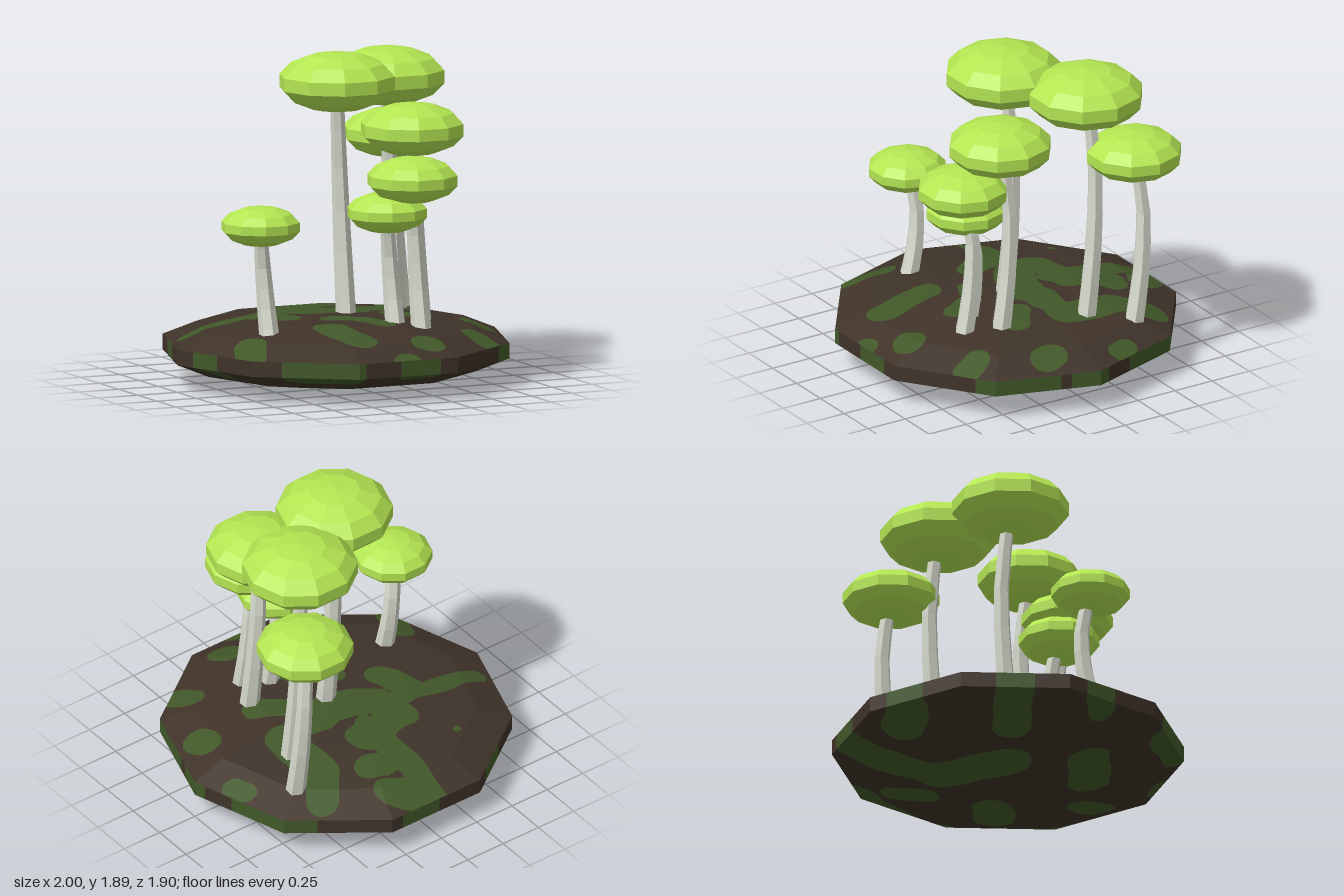
import * as THREE from 'three';

const mat = (name, color) => Object.assign(new THREE.MeshStandardMaterial({ color }), { name });

// Ten-sided, seven-ring flattened ball with the given outer radius and half height
function facetedBall(radius, halfHeight) {
  const R = radius / Math.sin((3 * Math.PI) / 7);
  return new THREE.SphereGeometry(1, 10, 7).scale(R, halfHeight, R).toNonIndexed();
}

function flat(geometry) {
  const g = geometry.index ? geometry.toNonIndexed() : geometry;
  g.computeVertexNormals();
  return g;
}

// Moss patches as capsules on the ground plan: x1, z1, x2, z2, radius
const topMoss = [
  [0, -0.95, 0, -0.3, 0.08], [0.02, -0.92, 0.2, -0.8, 0.1], [0.12, -0.62, 0.2, -0.58, 0.09],
  [-0.2, -0.33, 0.08, -0.38, 0.11], [-0.83, -0.21, -0.3, -0.22, 0.06], [-0.4, -0.15, -0.32, 0.02, 0.09],
  [-0.15, -0.15, 0.1, -0.05, 0.12], [-0.23, 0.4, -0.19, 0.7, 0.1], [-0.73, 0.38, -0.8, 0.55, 0.09],
  [0.19, 0.78, 0.21, 0.8, 0.09], [0.78, 0.19, 0.8, 0.24, 0.09], [0.84, -0.28, 0.88, -0.2, 0.06],
  [0.6, 0.58, 0.63, 0.66, 0.08], [-0.02, 0.95, 0.02, 0.95, 0.06], [-0.42, -0.58, -0.42, -0.58, 0.025],
  [0.45, -0.1, 0.45, -0.45, 0.11], [0.45, -0.45, 0.55, -0.62, 0.1], [0.2, -0.1, 0.3, -0.1, 0.1],
  [0.3, 0.12, 0.42, 0.2, 0.08], [0.05, 0.28, 0.1, 0.4, 0.07], [-0.12, 0.18, -0.06, 0.2, 0.07],
];
const lowerMoss = [
  [-0.6, 0.74, -0.36, 0.92, 0.1], [0.02, 0.95, 0.15, 0.95, 0.06], [0.78, 0.6, 0.92, 0.3, 0.09],
  [0.95, 0, 0.95, 0.1, 0.07], [0.9, -0.35, 0.7, -0.6, 0.1], [0.1, -0.95, 0.1, -0.5, 0.13],
  [-0.5, -0.8, -0.3, -0.75, 0.12], [-0.9, -0.3, -0.6, -0.2, 0.11], [-0.95, 0.2, -0.85, 0.25, 0.08],
  [0.1, -0.4, -0.25, -0.1, 0.15], [0.4, 0.05, 0.6, 0.15, 0.12], [-0.4, 0.35, -0.1, 0.45, 0.12],
  [0.25, 0.55, 0.3, 0.65, 0.1], [0.4, -0.35, 0.5, -0.5, 0.09],
];

// Negative inside a moss patch
function mossField(p, patches) {
  let best = Infinity;
  for (const [x1, z1, x2, z2, r] of patches) {
    const dx = x2 - x1, dz = z2 - z1;
    const t = THREE.MathUtils.clamp(((p.x - x1) * dx + (p.z - z1) * dz) / (dx * dx + dz * dz || 1), 0, 1);
    best = Math.min(best, Math.hypot(p.x - x1 - t * dx, p.z - z1 - t * dz) - r);
  }
  return best + 0.012 * Math.sin(p.x * 17 + p.z * 5) * Math.cos(p.z * 14);
}

// Facets are cut along the moss outlines into two material groups
function groundGeometry() {
  const src = facetedBall(1, 0.2).attributes.position;
  const out = [[], []];
  const put = (k, pts) => {
    for (let i = 1; i + 1 < pts.length; i++)
      for (const p of [pts[0], pts[i], pts[i + 1]]) out[k].push(p.x, p.y, p.z);
  };
  const cut = (tri, patches) => {
    const f = tri.map((p) => mossField(p, patches));
    const sides = [[], []];
    for (let i = 0; i < 3; i++) {
      const j = (i + 1) % 3;
      sides[f[i] < 0 ? 1 : 0].push(tri[i]);
      if ((f[i] < 0) !== (f[j] < 0)) {
        const m = tri[i].clone().lerp(tri[j], f[i] / (f[i] - f[j]));
        sides[0].push(m);
        sides[1].push(m);
      }
    }
    sides.forEach((s, k) => put(k, s));
  };
  const n = 14;
  for (let v = 0; v < src.count; v += 3) {
    const [a, b, c] = [0, 1, 2].map((i) => new THREE.Vector3().fromBufferAttribute(src, v + i));
    const patches = a.y + b.y + c.y > 0.15 ? topMoss : lowerMoss;
    const at = (i, j) => a.clone().addScaledVector(b.clone().sub(a), i / n).addScaledVector(c.clone().sub(a), j / n);
    for (let i = 0; i < n; i++)
      for (let j = 0; i + j < n; j++) {
        cut([at(i, j), at(i + 1, j), at(i, j + 1)], patches);
        if (i + j < n - 1) cut([at(i + 1, j), at(i + 1, j + 1), at(i, j + 1)], patches);
      }
  }
  const g = new THREE.BufferGeometry();
  g.setAttribute('position', new THREE.Float32BufferAttribute(out[0].concat(out[1]), 3));
  g.addGroup(0, out[0].length / 3, 0);
  g.addGroup(out[0].length / 3, out[1].length / 3, 1);
  return flat(g);
}

// Sideways bend shared by all stems, from foot to cap
const bend = new THREE.CatmullRomCurve3([
  new THREE.Vector3(0.046, 0, 0.035), new THREE.Vector3(0.045, 0.33, -0.02),
  new THREE.Vector3(0.034, 0.6, -0.042), new THREE.Vector3(0, 1, -0.005),
]);

// Six-sided tapering stem that follows the bend
function stemGeometry(height) {
  const g = new THREE.CylinderGeometry(0.038, 0.06, height, 6, 6, true).translate(0, height / 2, 0);
  const p = g.attributes.position;
  for (let i = 0; i < p.count; i++) {
    const o = bend.getPoint(THREE.MathUtils.clamp(p.getY(i) / height, 0, 1));
    p.setX(i, p.getX(i) + o.x);
    p.setZ(i, p.getZ(i) + o.z);
  }
  return flat(g);
}

export function createModel() {
  const model = new THREE.Group();
  model.name = 'mushroomCluster';
  const soil = mat('soil brown', 0x3f3329);
  const moss = mat('moss green', 0x415829);
  const capGreen = mat('cap lime', 0xb4e652);
  const stemGrey = mat('stem pale grey', 0xd6d9cc);
  stemGrey.side = THREE.DoubleSide;

  const ground = new THREE.Mesh(groundGeometry(), [soil, moss]);
  ground.name = 'ground';
  ground.position.y = 0.2;
  model.add(ground);

  // Cap centre x, y, z and cap radius
  const mushrooms = [
    [0, 1.72, 0.015, 0.333], [0.446, 1.69, -0.255, 0.33], [0.585, 1.325, -0.49, 0.275],
    [0.353, 1.46, 0.264, 0.296], [0.262, 1.2, 0.456, 0.26], [0.147, 1.008, 0.363, 0.23],
    [-0.606, 0.965, 0.273, 0.225],
  ];
  const foot = 0.26;
  for (const [x, y, z, r] of mushrooms) {
    const mushroom = new THREE.Group();
    mushroom.name = 'mushroom';
    mushroom.position.set(x, foot, z);
    const stem = new THREE.Mesh(stemGeometry(y - foot - 0.02), stemGrey);
    stem.name = 'stem';
    const cap = new THREE.Mesh(flat(facetedBall(r, r * 0.51)), capGreen);
    cap.name = 'cap';
    cap.position.y = y - foot;
    mushroom.add(stem, cap);
    model.add(mushroom);
  }
  return model;
}
